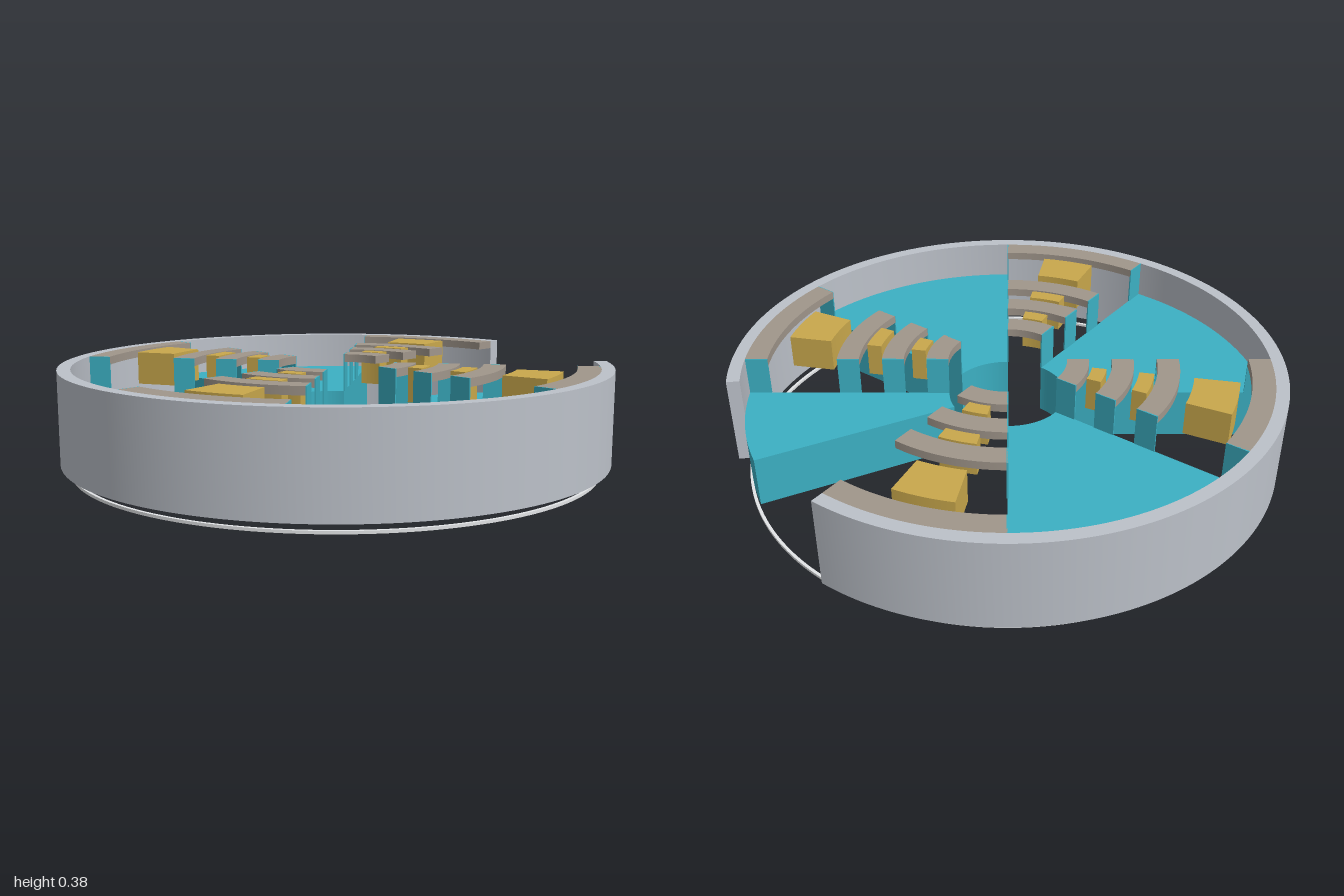
import * as THREE from 'three';
import { toCreasedNormals } from 'three/addons/utils/BufferGeometryUtils.js';

const rad = THREE.MathUtils.degToRad;
const mat = (name, color) => {
  const m = new THREE.MeshStandardMaterial({ color });
  m.name = name;
  return m;
};

// Upright block bounded by two radii, two angles (degrees) and two heights
function sector(r0, r1, a0, a1, y0, y1) {
  const s = new THREE.Shape();
  if (a1 - a0 >= 360) {
    s.absarc(0, 0, r1, 0, Math.PI * 2, false);
    const hole = new THREE.Path();
    hole.absarc(0, 0, r0, 0, Math.PI * 2, true);
    s.holes.push(hole);
  } else {
    s.absarc(0, 0, r1, rad(a0), rad(a1), false);
    s.absarc(0, 0, r0, rad(a1), rad(a0), true);
    s.closePath();
  }
  const g = new THREE.ExtrudeGeometry(s, {
    depth: y1 - y0,
    bevelEnabled: false,
    curveSegments: Math.max(6, Math.ceil((a1 - a0) / 3)),
  });
  g.rotateX(-Math.PI / 2);
  g.translate(0, y0, 0);
  return toCreasedNormals(g, rad(30));
}

export function createModel() {
  const model = new THREE.Group();
  model.name = 'sectionedRotor';

  const grey = mat('shell grey', 0xbcc1c9);
  const teal = mat('teal', 0x3cb0c3);
  const taupe = mat('taupe', 0xa0968b);
  const gold = mat('gold', 0xc9a84c);
  const white = mat('off white', 0xe8eaec);

  const add = (name, geometry, material, parent = model) => {
    const m = new THREE.Mesh(geometry, material);
    m.name = name;
    parent.add(m);
    return m;
  };

  const low = 0.04, mid = 0.23, top = 0.375;
  const inner = 0.215, outer = 0.953;

  // Outer shell with an eighth cut away, and the fine ring on the ground
  add('outerShell', sector(outer, 1, 0, 315, low, top), grey);
  add('baseRing', sector(0.952, 0.963, 0, 360, 0, 0.01), white);

  // Radii of the curved bars and of the blocks between them
  const bars = [[0.215, 0.295], [0.377, 0.456], [0.54, 0.62], [0.872, outer]];
  const blocks = [[0.307, 0.36], [0.476, 0.53], [0.67, 0.83]];

  for (let q = 0; q < 4; q++) {
    const start = q * 90;
    const quarter = new THREE.Group();
    quarter.name = 'quarter' + (q + 1);
    model.add(quarter);

    // Solid wedge; the last one is cut short at the opening
    const end = q === 3 ? 332 : start + 90;
    add('wedge', sector(inner, outer, start + 36, end, low, mid), teal, quarter);

    // Curved bars with thin upright plates at the wedge edges
    for (const [r0, r1] of bars) {
      add('curvedBar', sector(r0, r1, start, start + 36, top - 0.03, top), taupe, quarter);
      const edges = q === 0 ? [36] : [0, 36];
      for (const a of edges) {
        const plate = add('supportPlate', new THREE.BoxGeometry(r1 - r0, top - mid, 0.005), teal, quarter);
        const t = rad(start + a), r = (r0 + r1) / 2;
        plate.position.set(r * Math.cos(t), (mid + top) / 2, -r * Math.sin(t));
        plate.rotation.y = t;
      }
    }

    // Blocks floating between the bars
    for (const [r0, r1] of blocks) {
      add('block', sector(r0, r1, start + 10.8, start + 25.2, 0.25, top), gold, quarter);
    }
  }
  return model;
}
